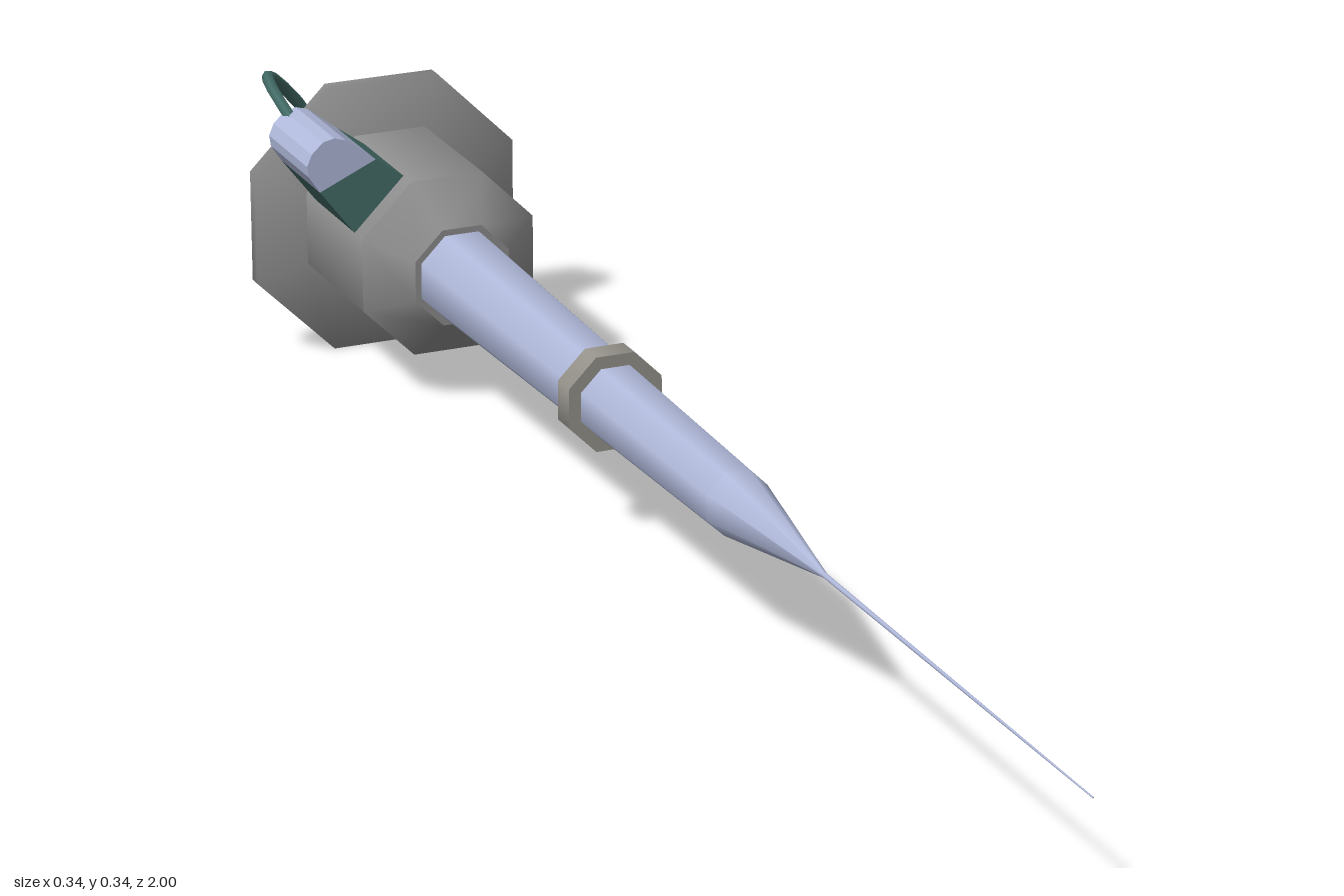
import * as THREE from 'three';

const AXIS_X = -0.008, AXIS_Y = 0.166;
const K = 1 / Math.cos(Math.PI / 8); // flat-to-centre distance -> corner radius

function material(name, color, side = THREE.FrontSide) {
  const m = new THREE.MeshStandardMaterial({ color, side });
  m.name = name;
  return m;
}

export function createModel() {
  const group = new THREE.Group();
  const steel = material('pale blue steel', 0xb0b9da);
  const grey = material('grey', 0x8e8e8e);
  const collarGrey = material('collar grey', 0x96938c);
  const teal = material('dark teal', 0x446d68);
  const red = material('dark red', 0x713f3f);

  const add = (name, geometry, mat) => {
    const mesh = new THREE.Mesh(geometry, mat);
    mesh.name = name;
    group.add(mesh);
    return mesh;
  };

  // Octagonal section along z; radii are measured to the flats
  const section = (name, mat, zFront, rFront, zBack, rBack) => {
    const g = new THREE.CylinderGeometry(rFront * K, rBack * K, zFront - zBack, 8, 1, false, Math.PI / 8);
    g.rotateX(Math.PI / 2);
    g.translate(AXIS_X, AXIS_Y, (zFront + zBack) / 2);
    return add(name, g, mat);
  };

  // Needle, shaft and collar
  section('needle', steel, 1.0, 0.0008, 0.39, 0.003);
  section('noseCone', steel, 0.405, 0.003, 0.19, 0.035);
  section('frontShaft', steel, 0.19, 0.035, -0.145, 0.041);
  section('collar', collarGrey, -0.132, 0.055, -0.163, 0.055);
  section('rearShaft', steel, -0.145, 0.042, -0.59, 0.051);

  // Body with chamfered shoulder
  section('bodyShoulder', grey, -0.578, 0.058, -0.622, 0.106);
  section('body', grey, -0.622, 0.106, -0.82, 0.106);

  // Rear flange with softly shaded back
  const profile = [[0, -0.849], [0.157, -0.845], [0.163, -0.838], [0.163, -0.822], [0.106, -0.803]]
    .map(([r, z]) => new THREE.Vector2(r * K, z));
  const flange = new THREE.LatheGeometry(profile, 8, Math.PI / 8);
  flange.rotateX(Math.PI / 2);
  flange.translate(AXIS_X, AXIS_Y, 0);
  add('flange', flange, grey);

  // Side canisters: outlines in x-y, extruded along z
  const block = (name, mat, outline, zFront, zBack) => {
    const shape = new THREE.Shape(outline.map(([x, y]) => new THREE.Vector2(x, y)));
    const g = new THREE.ExtrudeGeometry(shape, { depth: zFront - zBack, bevelEnabled: false });
    g.translate(0, 0, zBack);
    add(name, g, mat);
  };
  block('upperCanisterBase', teal,
    [[-0.113, 0.21], [-0.05, 0.27], [-0.086, 0.296], [-0.155, 0.265]], -0.647, -0.772);
  block('upperCanisterCap', steel,
    [[-0.155, 0.265], [-0.086, 0.296], [-0.122, 0.324], [-0.136, 0.328], [-0.15, 0.325],
      [-0.164, 0.312], [-0.17, 0.298], [-0.168, 0.285]], -0.647, -0.772);
  block('lowerCanisterBase', steel,
    [[0.04, 0.06], [0.061, 0.049], [0.127, 0.081], [0.098, 0.12]], -0.637, -0.785);
  block('lowerCanisterCap', red,
    [[0.061, 0.049], [0.09, 0.023], [0.102, 0.019], [0.118, 0.023], [0.132, 0.036],
      [0.14, 0.053], [0.137, 0.065], [0.127, 0.081]], -0.637, -0.785);

  // Looped wires from each canister to the centre of the flange
  const wire = (name, mat, radius, points) => {
    const curve = new THREE.CatmullRomCurve3(points.map((p) => new THREE.Vector3(...p)));
    add(name, new THREE.TubeGeometry(curve, 12, radius, 6), mat);
  };
  wire('upperWire', teal, 0.0075, [
    [-0.147, 0.318, -0.755], [-0.143, 0.333, -0.83], [-0.115, 0.32, -0.915],
    [-0.06, 0.262, -0.96], [-0.03, 0.205, -0.94], [AXIS_X, 0.168, -0.845]]);
  wire('lowerWire', red, 0.005, [
    [0.124, 0.034, -0.765], [0.148, 0.022, -0.8], [0.163, 0.016, -0.87], [0.143, 0.038, -0.955],
    [0.1, 0.085, -0.994], [0.05, 0.135, -0.973], [0.01, 0.162, -0.91], [AXIS_X, 0.166, -0.842]]);

  return group;
}
